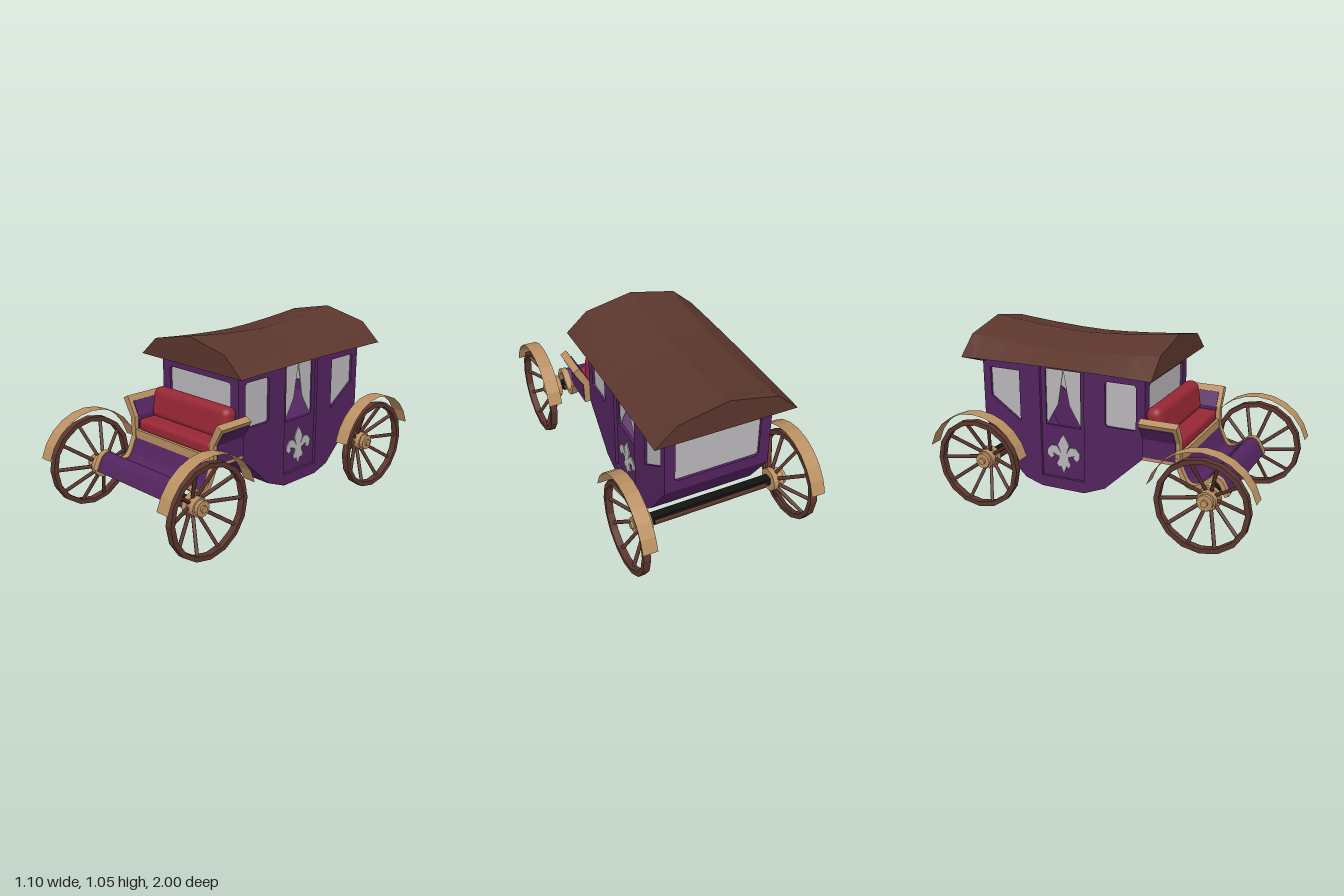
import * as THREE from 'three';
import { RoundedBoxGeometry } from 'three/addons/geometries/RoundedBoxGeometry.js';

const paint = (name, color, opts = {}) => {
  const m = new THREE.MeshStandardMaterial({ color, ...opts });
  m.name = name;
  return m;
};

export function createModel() {
  const purple = paint('purple paint', 0x53245f);
  const brown = paint('dark wood', 0x5b362d);
  const tan = paint('light wood', 0xba9062, { side: THREE.DoubleSide });
  const red = paint('red upholstery', 0x982735);
  const glass = paint('pale grey', 0xb9b7b9);
  const black = paint('black iron', 0x141212);

  const model = new THREE.Group();
  const add = (name, geo, mat, x = 0, y = 0, z = 0, parent = model) => {
    const mesh = new THREE.Mesh(geo, mat);
    mesh.name = name;
    mesh.position.set(x, y, z);
    parent.add(mesh);
    return mesh;
  };
  const flat = (geo) => {
    const g = geo.index ? geo.toNonIndexed() : geo;
    g.computeVertexNormals();
    return g;
  };
  const shapeOf = (pts, holes = []) => {
    const s = new THREE.Shape(pts.map(([a, b]) => new THREE.Vector2(a, b)));
    for (const h of holes) s.holes.push(new THREE.Path(h.map(([a, b]) => new THREE.Vector2(a, b))));
    return s;
  };
  const extrude = (shape, depth) => new THREE.ExtrudeGeometry(shape, { depth, bevelEnabled: false });
  // Extrudes a (z, y) shape so that its depth runs towards -x
  const extrudeSide = (shape, depth) => extrude(shape, depth).rotateY(-Math.PI / 2);
  const bothSides = (name, shape, depth, outer, mat) => {
    const geo = extrudeSide(shape, depth);
    add('left ' + name, geo, mat, outer);
    add('right ' + name, geo, mat, depth - outer);
  };
  const rect = (a0, b0, a1, b1, c = 0) => c
    ? [[a0 + c, b0], [a1 - c, b0], [a1, b0 + c], [a1, b1 - c], [a1 - c, b1], [a0 + c, b1], [a0, b1 - c], [a0, b0 + c]]
    : [[a0, b0], [a1, b0], [a1, b1], [a0, b1]];

  // Cabin sides with openings for the door and windows
  const keel = [[0.285, 0.40], [0.035, 0.165], [-0.10, 0.11], [-0.38, 0.11], [-0.49, 0.145], [-0.60, 0.25], [-0.76, 0.48]];
  const frontPane = rect(0.04, 0.55, 0.23, 0.815, 0.012);
  const rearPane = [[-0.515, 0.50], [-0.515, 0.81], [-0.71, 0.81], [-0.71, 0.635]];
  const door = rect(-0.38, 0.18, -0.095, 0.875);
  const doorPane = rect(-0.35, 0.50, -0.125, 0.84);
  bothSides('cabin side', shapeOf([...keel, [-0.76, 0.885], [0.285, 0.885]], [frontPane, rearPane, door]), 0.03, 0.315, purple);
  bothSides('door', shapeOf(door, [doorPane]), 0.02, 0.297, purple);
  bothSides('front side window', shapeOf(frontPane), 0.008, 0.3, glass);
  bothSides('rear side window', shapeOf(rearPane), 0.008, 0.3, glass);

  // Parted curtains in the door windows
  for (const s of [1, -1]) {
    const c = -0.2375;
    bothSides('curtain', shapeOf([[c, 0.84], [c + s * 0.1125, 0.84], [c + s * 0.1125, 0.50], [c + s * 0.037, 0.63]]), 0.006, 0.289, glass);
  }

  // Lily ornament on each door
  const half = [[0.022, 0.415], [0.036, 0.385], [0.018, 0.335], [0.045, 0.375], [0.08, 0.375], [0.105, 0.345], [0.105, 0.315],
    [0.085, 0.295], [0.065, 0.31], [0.072, 0.33], [0.03, 0.315], [0.03, 0.295], [0.045, 0.265], [0.03, 0.245], [0.018, 0.255]];
  const lily = [[0, 0.45], ...half, [0, 0.21], ...half.map(([a, b]) => [-a, b]).reverse()];
  bothSides('door ornament', shapeOf(lily.map(([a, b]) => [a - 0.2375, b])), 0.006, 0.303, glass);

  // Front and back walls with their windows
  const endPane = rect(-0.253, 0.55, 0.253, 0.815, 0.012);
  add('cabin front wall', extrude(shapeOf(rect(-0.285, 0.40, 0.285, 0.885), [endPane]), 0.03), purple, 0, 0, 0.255);
  add('cabin back wall', extrude(shapeOf(rect(-0.285, 0.48, 0.285, 0.885), [endPane]), 0.03), purple, 0, 0, -0.76);
  add('front window', extrude(shapeOf(endPane), 0.008), glass, 0, 0, 0.262);
  add('back window', extrude(shapeOf(endPane), 0.008), glass, 0, 0, -0.745);

  // Floor panels following the keel line
  for (let i = 0; i + 1 < keel.length; i++) {
    const [z0, y0] = keel[i], [z1, y1] = keel[i + 1];
    const len = Math.hypot(z1 - z0, y1 - y0);
    const geo = new THREE.BoxGeometry(0.57, 0.02, len).translate(0, 0.01, 0);
    add('floor panel', geo, purple, 0, (y0 + y1) / 2, (z0 + z1) / 2).rotation.x = Math.atan2(y1 - y0, z0 - z1);
  }

  // Roof: faceted across, sagging along its length, with a sloped rear underside
  const verts = [], index = [], zs = [0.36, 0.21, 0.06, -0.09, -0.24, -0.40, -0.60, -0.76, -0.845];
  const n = 7;
  for (const z of zs) {
    const t = Math.abs(z + 0.2425) / 0.6025;
    const sag = 0.05 * (1 - t ** 1.6);
    const eave = 0.877 + 0.008 * (1 - t * t);
    const under = z === -0.76 ? 0.84 : eave;
    const ring = [[0.315, under], [0.412, eave], [0.285, 0.99 - sag * 0.8], [0, 1.05 - sag],
      [-0.285, 0.99 - sag * 0.8], [-0.412, eave], [-0.315, under]];
    for (const [x, y] of ring) verts.push(x, y, z);
  }
  for (let k = 0; k + 1 < zs.length; k++) {
    for (let i = 0; i < n; i++) {
      const a = k * n + i, b = k * n + (i + 1) % n;
      index.push(a, b, a + n, b, b + n, a + n);
    }
  }
  const last = (zs.length - 1) * n;
  for (let i = 1; i + 1 < n; i++) index.push(0, i, i + 1, last, last + i + 1, last + i);
  // Winding runs outward: the front cap faces +z
  const roof = new THREE.BufferGeometry();
  roof.setAttribute('position', new THREE.Float32BufferAttribute(verts, 3));
  for (let i = 0; i < last * 6; i += 3) [index[i + 1], index[i + 2]] = [index[i + 2], index[i + 1]];
  roof.setIndex(index);
  add('roof', flat(roof), brown);

  // Driver's bench
  add('bench base', new THREE.BoxGeometry(0.63, 0.06, 0.22), tan, 0, 0.43, 0.395);
  add('seat cushion', new RoundedBoxGeometry(0.61, 0.075, 0.2, 4, 0.025), red, 0, 0.49, 0.395);
  add('back cushion', new RoundedBoxGeometry(0.63, 0.19, 0.1, 5, 0.045), red, 0, 0.6, 0.338).rotation.x = -0.15;
  const arm = [[0.315, 0.40], [0.35, 0.40], [0.352, 0.53], [0.415, 0.635], [0.376, 0.655], [0.315, 0.54]];
  const inset = [[0.311, 0.42], [0.354, 0.42], [0.356, 0.53], [0.404, 0.608], [0.353, 0.622], [0.311, 0.54]];
  for (const s of [1, -1]) {
    const side = s > 0 ? 'left ' : 'right ';
    const flip = (pts) => shapeOf(pts.map(([x, y]) => [s * x, y]));
    add(side + 'bench arm', extrude(flip(arm), 0.225), tan, 0, 0, 0.285);
    add(side + 'arm panel', extrude(flip(inset), 0.198), purple, 0, 0, 0.287);
  }

  // Curved footboard with side rails
  const curve = new THREE.SplineCurve([[0.49, 0.445], [0.55, 0.315], [0.60, 0.30], [0.65, 0.33], [0.70, 0.37], [0.75, 0.355], [0.79, 0.275]]
    .map(([z, y]) => new THREE.Vector2(z, y)));
  const band = (top, bottom) => {
    const pts = curve.getPoints(20);
    const offset = (d) => pts.map((p, i) => {
      const t = curve.getTangent(i / 20);
      return [p.x - t.y * d, p.y + t.x * d];
    });
    return shapeOf([...offset(top), ...offset(bottom).reverse()]);
  };
  add('footboard', extrudeSide(band(0, -0.015), 0.63), purple, 0.315);
  bothSides('footboard rail', band(0.006, -0.021), 0.037, 0.352, tan);

  // Axles
  for (const z of [0.7, -0.695]) {
    add('axle bar', new THREE.BoxGeometry(0.77, 0.045, 0.05), black, 0, 0.273, z);
    add('axle beam', new THREE.CylinderGeometry(0.03, 0.03, 0.7, 16).rotateZ(Math.PI / 2), brown, 0, 0.258, z);
  }

  // Wheels with dished spokes, stepped hubs and open mudguards
  const rimGeo = flat(new THREE.LatheGeometry([[0.242, -0.02], [0.27, -0.02], [0.27, 0.02], [0.242, 0.02], [0.242, -0.02]]
    .map(([r, y]) => new THREE.Vector2(r, y)), 16).rotateZ(Math.PI / 2));
  const hubSteps = [[0.378, 0.41, 0.068], [0.41, 0.45, 0.055], [0.45, 0.472, 0.045], [0.472, 0.485, 0.02]];
  const up = new THREE.Vector3(0, 1, 0);
  const guardGeo = flat(new THREE.CylinderGeometry(0.315, 0.315, 0.085, 10, 1, true, Math.PI / 12, Math.PI * 5 / 6).rotateZ(Math.PI / 2));
  for (const z of [0.7, -0.695]) for (const s of [1, -1]) {
    const wheel = new THREE.Group();
    wheel.name = (z > 0 ? 'front ' : 'rear ') + (s > 0 ? 'left' : 'right') + ' wheel';
    wheel.position.set(0, 0.27, z);
    model.add(wheel);
    add('rim', rimGeo, brown, s * 0.508, 0, 0, wheel);
    for (const [x0, x1, r] of hubSteps) {
      add('hub', flat(new THREE.CylinderGeometry(r, r, x1 - x0, 14).rotateZ(Math.PI / 2)), tan, s * (x0 + x1) / 2, 0, 0, wheel);
    }
    for (let i = 0; i < 10; i++) {
      const a = (i + 0.5) * Math.PI / 5;
      const p = new THREE.Vector3(s * 0.405, Math.cos(a) * 0.045, Math.sin(a) * 0.045);
      const q = new THREE.Vector3(s * 0.505, Math.cos(a) * 0.25, Math.sin(a) * 0.25);
      const mid = p.clone().add(q).multiplyScalar(0.5);
      const spoke = add('spoke', new THREE.CylinderGeometry(0.011, 0.011, p.distanceTo(q), 6), brown, mid.x, mid.y, mid.z, wheel);
      spoke.quaternion.setFromUnitVectors(up, q.clone().sub(p).normalize());
    }
    add('mudguard', guardGeo, tan, s * 0.506, 0, 0, wheel);
  }
  return model;
}
